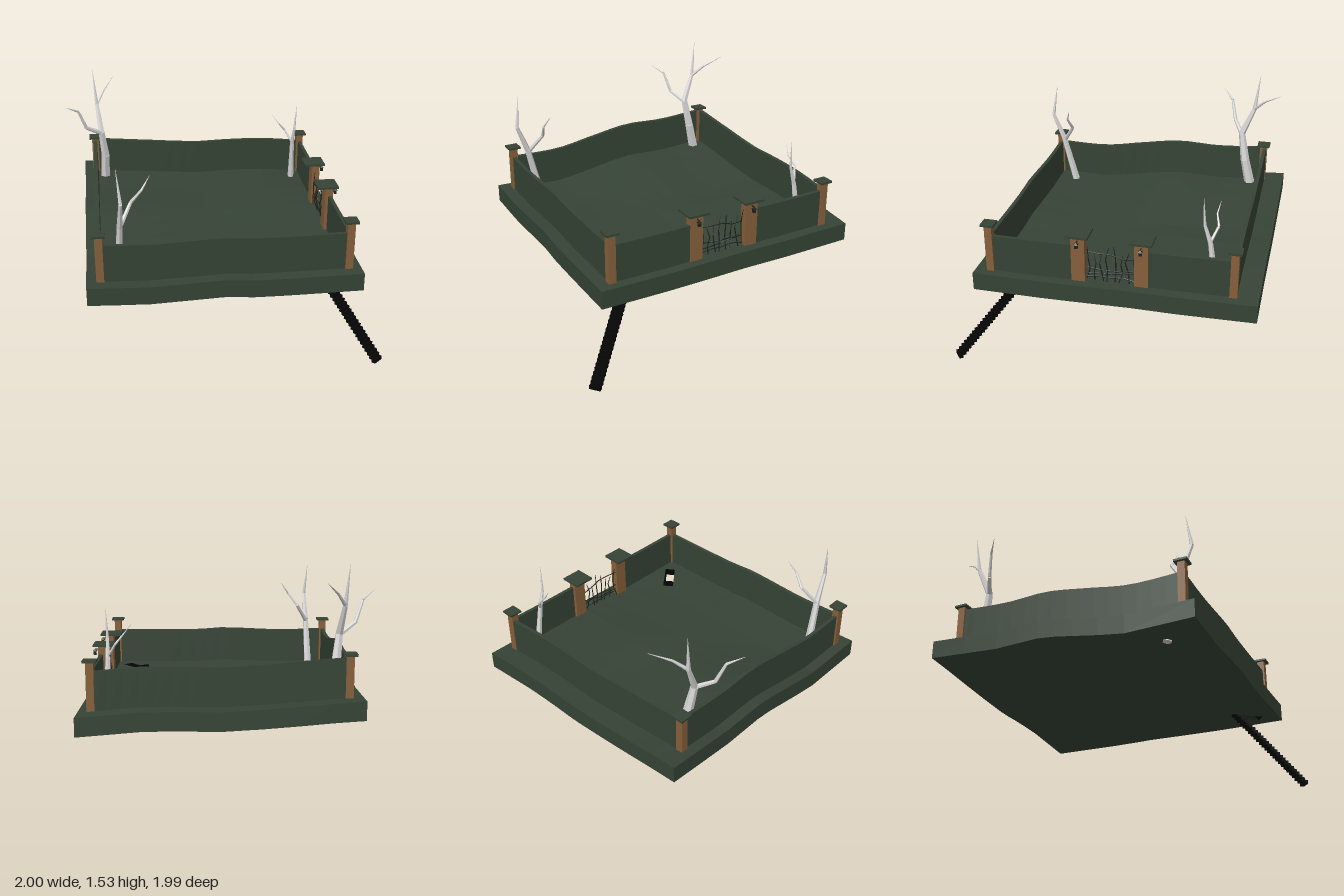
import * as THREE from 'three';
import { mergeGeometries } from 'three/addons/utils/BufferGeometryUtils.js';

const mat = (name, color, extra = {}) =>
  Object.assign(new THREE.MeshStandardMaterial({ color, ...extra }), { name });

// Rolling ground: heights on a coarse grid, joined by smooth curves
const XS = [-0.9, -0.5, -0.03, 0.15, 0.47, 0.87];
const ZS = [-1, -0.5, -0.2, 0.05, 0.4, 0.855];
const HEIGHTS = [
  [0.724, 0.69, 0.655, 0.657, 0.653, 0.618],
  [0.69, 0.67, 0.63, 0.64, 0.64, 0.61],
  [0.7, 0.675, 0.63, 0.635, 0.63, 0.612],
  [0.665, 0.645, 0.62, 0.615, 0.61, 0.607],
  [0.608, 0.602, 0.605, 0.6, 0.6, 0.602],
  [0.62, 0.603, 0.62, 0.605, 0.602, 0.604],
];
const THICK = 0.122;
// Grid lines with midpoints, leaving the last cell whole for the opening
const refine = list => list.flatMap((v, i) => (i < 4 ? [v, (v + list[i + 1]) / 2] : [v]));
const GX = refine(XS), GZ = refine(ZS), N = GX.length - 1;

function curve(list, values, v) {
  let i = 0;
  while (i < list.length - 2 && v > list[i + 1]) i++;
  const t = THREE.MathUtils.clamp((v - list[i]) / (list[i + 1] - list[i]), 0, 1);
  const a = values[Math.max(i - 1, 0)], b = values[i], c = values[i + 1], d = values[Math.min(i + 2, 5)];
  return b + 0.5 * t * (c - a + t * (2 * a - 5 * b + 4 * c - d + t * (3 * (b - c) + d - a)));
}
const ground = (x, z) => curve(ZS, HEIGHTS.map(row => curve(XS, row, x)), z);

// Stairway line, and the slanted shaft it passes through
const STAIR_START = new THREE.Vector2(0.56, 0.473);
const STAIR_END = new THREE.Vector2(0.968, 0.964);
const stairDir = STAIR_END.clone().sub(STAIR_START).normalize();
const stairSide = new THREE.Vector2(-stairDir.y, stairDir.x);
const holeLoop = shift => [[-0.005, -0.037], [0.225, -0.037], [0.225, 0.037], [-0.005, 0.037]].map(([d, s]) =>
  STAIR_START.clone().addScaledVector(stairDir, d + shift).addScaledVector(stairSide, s));
const HOLE_TOP = holeLoop(0), HOLE_BOTTOM = holeLoop(0.1);

// One face of the slab, cell by cell, with the opening cut from its cell
function slabFace(drop, hole, flip) {
  const cells = [];
  for (let i = 0; i < N; i++) for (let j = 0; j < N; j++) {
    const [x0, x1, z0, z1] = [GX[i], GX[i + 1], GZ[j], GZ[j + 1]];
    const shape = new THREE.Shape([[x0, z1], [x1, z1], [x1, z0], [x0, z0]].map(([x, z]) => new THREE.Vector2(x, -z)));
    if (i === N - 1 && j === N - 1) shape.holes.push(new THREE.Path(hole.map(p => new THREE.Vector2(p.x, -p.y))));
    cells.push(new THREE.ShapeGeometry(shape).rotateX(-Math.PI / 2));
  }
  const g = mergeGeometries(cells), p = g.attributes.position;
  for (let k = 0; k < p.count; k++) p.setY(k, ground(p.getX(k), p.getZ(k)) - drop);
  if (flip) g.index.array.reverse();
  g.computeVertexNormals();
  return g;
}

// Band joining a closed loop on the top face to one on the underside
function skirt(top, bottom) {
  const pos = [];
  const point = (p, drop) => [p.x, ground(p.x, p.y) - drop, p.y];
  top.forEach((a, k) => {
    const n = (k + 1) % top.length;
    const at = point(a, 0), bt = point(top[n], 0), ab = point(bottom[k], THICK), bb = point(bottom[n], THICK);
    pos.push(...ab, ...bb, ...bt, ...ab, ...bt, ...at);
  });
  const g = new THREE.BufferGeometry();
  g.setAttribute('position', new THREE.Float32BufferAttribute(pos, 3));
  g.computeVertexNormals();
  return g;
}

// Wall that follows the ground between two points
function wallGeometry(x0, z0, x1, z1) {
  const len = Math.hypot(x1 - x0, z1 - z0);
  const g = new THREE.BoxGeometry(len, 0.27, 0.026, 16, 1, 1);
  g.rotateY(-Math.atan2(z1 - z0, x1 - x0)).translate((x0 + x1) / 2, 0.117, (z0 + z1) / 2);
  const p = g.attributes.position;
  for (let k = 0; k < p.count; k++) p.setY(k, p.getY(k) + ground(p.getX(k), p.getZ(k)));
  g.computeVertexNormals();
  return g;
}

// Round bar between two points, tapering from ra to rb
function bar(a, b, ra, rb, sides) {
  const A = new THREE.Vector3(...a), B = new THREE.Vector3(...b), d = B.clone().sub(A);
  const g = new THREE.CylinderGeometry(rb, ra, d.length(), sides, 1);
  g.applyQuaternion(new THREE.Quaternion().setFromUnitVectors(new THREE.Vector3(0, 1, 0), d.normalize()));
  return g.translate(...A.add(B).multiplyScalar(0.5).toArray());
}
// Limb through several points with the given radii
const limb = (pts, radii, sides = 6) =>
  mergeGeometries(pts.slice(1).map((p, i) => bar(pts[i], p, radii[i], radii[i + 1], sides)));

export function createModel() {
  const root = new THREE.Group();
  const moss = mat('mossGreen', 0x354335, { flatShading: true });
  const brick = mat('pillarBrown', 0x855f3a);
  const bark = mat('deadWoodGrey', 0xd6d4d4, { flatShading: true });
  const iron = mat('darkIron', 0x1c221e, { flatShading: true });
  const black = mat('stairBlack', 0x060607);
  const add = (name, geo, m, parent = root) => {
    const mesh = new THREE.Mesh(geo, m);
    mesh.name = name;
    parent.add(mesh);
    return mesh;
  };
  const box = (name, w, h, d, x, y, z, m, parent) =>
    add(name, new THREE.BoxGeometry(w, h, d), m, parent).position.set(x, y, z);

  // Ground slab with its slanted shaft
  const V = (x, z) => new THREE.Vector2(x, z), x1 = GX[N], z1 = GZ[N];
  const rim = [
    ...GX.slice(0, N).map(x => V(x, z1)), ...GZ.slice(1).reverse().map(z => V(x1, z)),
    ...GX.slice(1).reverse().map(x => V(x, GZ[0])), ...GZ.slice(0, N).map(z => V(GX[0], z)),
  ];
  add('groundTop', slabFace(0, HOLE_TOP, false), moss);
  add('groundUnderside', slabFace(THICK, HOLE_BOTTOM, true), moss);
  add('groundEdge', skirt(rim, rim), moss);
  add('shaftSides', skirt(HOLE_TOP, HOLE_BOTTOM), black);

  // Perimeter walls
  const L = -0.812, R = 0.787, B = -0.848, F = 0.752;
  [['frontWall', L, F, R, F], ['backWall', L, B, R, B], ['rightWall', L, B, L, F],
    ['leftWallBack', R, B, R, -0.26], ['leftWallFront', R, 0.155, R, F]]
    .forEach(([name, ...ends]) => add(name, wallGeometry(...ends), moss));

  // Pillars with flat caps
  function pillar(name, x, z, top, width, depth, cap, capX = x) {
    const g = new THREE.Group();
    g.name = name;
    const base = ground(x, z) - 0.015, shaftTop = top - 0.014;
    box('shaft', width, shaftTop - base, depth, x, (base + shaftTop) / 2, z, brick, g);
    box('cap', cap, 0.014, cap, capX, top - 0.007, z, moss, g);
    root.add(g);
  }
  for (const [name, x, z, top] of [['frontLeftPillar', R, F, 0.945], ['frontRightPillar', L, F, 0.945],
    ['backLeftPillar', R, B + 0.008, 0.945], ['backRightPillar', L, B + 0.008, 0.988]]) {
    pillar(name, x, z, top, 0.05, 0.05, 0.088);
  }

  // Gate pillars, each with a small lantern
  for (const z of [0.157, -0.255]) {
    pillar('gatePillar', 0.78, z, 0.937, 0.055, 0.09, 0.145, 0.767);
    const lantern = new THREE.Group();
    lantern.name = 'lantern';
    box('lanternBody', 0.018, 0.026, 0.018, 0.833, 0.87, z, iron, lantern);
    add('lanternRoof', new THREE.ConeGeometry(0.02, 0.016, 4).rotateY(Math.PI / 4), iron, lantern).position.set(0.833, 0.891, z);
    box('lanternBracket', 0.03, 0.006, 0.006, 0.82, 0.896, z, iron, lantern);
    root.add(lantern);
  }

  // Crooked iron gate
  let seed = 7;
  const jitter = a => ((seed = (seed * 16807) % 2147483647) / 2147483647 - 0.5) * 2 * a;
  const bars = [];
  [0.84, 0.79, 0.8, 0.85, 0.865, 0.8, 0.83, 0.865].forEach((top, i) => {
    const z = 0.095 - i * 0.0425;
    bars.push(limb([0, 0.33, 0.66, 1].map(t =>
      [0.772 + jitter(0.014), 0.61 + t * (top - 0.61), z + jitter(0.016)]), [0.004, 0.004, 0.004, 0.002], 5));
  });
  for (const y of [0.635, 0.665, 0.7, 0.79]) {
    bars.push(limb([0.11, 0.03, -0.05, -0.13, -0.21].map(z =>
      [0.772 + jitter(0.008), y + jitter(0.02), z]), Array(5).fill(0.0035), 5));
  }
  add('gate', mergeGeometries(bars), iron);

  // Bare trees
  add('tallTreeTrunk', limb([[-0.75, 0.64, -0.765], [-0.74, 0.88, -0.71], [-0.762, 1.08, -0.675],
    [-0.785, 1.27, -0.755], [-0.805, 1.525, -0.785]], [0.04, 0.033, 0.024, 0.015, 0.001]), bark);
  add('tallTreeRightBranch', limb([[-0.76, 1.07, -0.675], [-0.87, 1.14, -0.61], [-0.92, 1.28, -0.575],
    [-1.0, 1.335, -0.505]], [0.017, 0.013, 0.009, 0.001]), bark);
  add('tallTreeLeftBranch', limb([[-0.785, 1.27, -0.755], [-0.73, 1.35, -0.83], [-0.65, 1.43, -0.95]],
    [0.013, 0.008, 0.001]), bark);
  add('frontTreeTrunk', limb([[-0.695, 0.48, 0.595], [-0.69, 0.62, 0.61], [-0.675, 0.95, 0.69],
    [-0.665, 1.14, 0.765], [-0.685, 1.36, 0.735]], [0.03, 0.028, 0.021, 0.013, 0.001]), bark);
  add('frontTreeBranch', limb([[-0.675, 0.94, 0.68], [-0.6, 1.07, 0.597], [-0.53, 1.16, 0.615],
    [-0.473, 1.245, 0.583]], [0.015, 0.012, 0.008, 0.001]), bark);
  add('backTreeTrunk', limb([[0.703, 0.58, -0.72], [0.695, 0.92, -0.67], [0.7, 1.05, -0.63],
    [0.71, 1.235, -0.62]], [0.025, 0.016, 0.01, 0.001]), bark);
  add('backTreeBranch', limb([[0.695, 0.93, -0.668], [0.64, 1.02, -0.71], [0.59, 1.08, -0.69],
    [0.54, 1.145, -0.705]], [0.01, 0.008, 0.005, 0.001]), bark);

  // Long stairway descending through the shaft
  const stairs = new THREE.Group();
  stairs.name = 'stairway';
  const steps = 32, run = STAIR_START.distanceTo(STAIR_END);
  for (let i = 0; i < steps; i++) {
    const t = i / (steps - 1), p = STAIR_START.clone().addScaledVector(stairDir, t * (run - 0.02) + 0.01);
    const step = add('step', new THREE.BoxGeometry(0.074, 0.026, 0.028), black, stairs);
    step.position.set(p.x, THREE.MathUtils.lerp(0.612, 0.013, t), p.y);
    step.rotation.y = Math.atan2(stairDir.x, stairDir.y);
  }
  root.add(stairs);
  return root;
}
